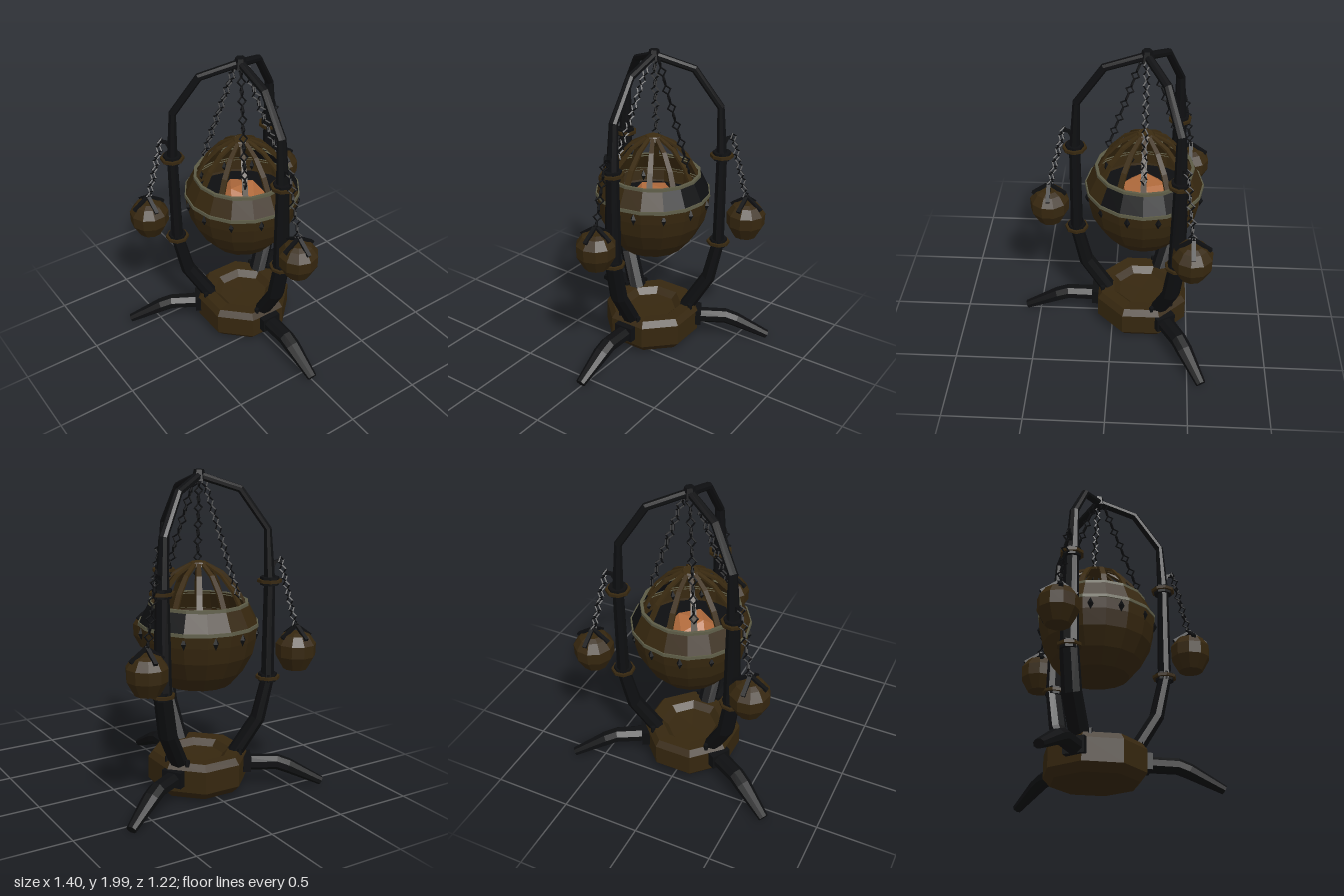
import * as THREE from 'three';

const mat = (name, color) => {
  const m = new THREE.MeshStandardMaterial({ color, flatShading: true, side: THREE.DoubleSide });
  m.name = name;
  return m;
};

export function createModel() {
  const iron = mat('black iron', 0x0e0f11);
  const bronze = mat('dark bronze', 0x36270f);
  const rib = mat('rib bronze', 0x3b2b11);
  const trim = mat('pale trim', 0x5c5b46);
  const ember = mat('ember orange', 0xb06a3c);

  const root = new THREE.Group();
  root.name = 'hangingBrazier';
  const model = new THREE.Group();
  model.name = 'brazierBody';
  model.position.z = -0.195;
  root.add(model);

  const add = (parent, name, geo, material, x = 0, y = 0, z = 0) => {
    const m = new THREE.Mesh(geo, material);
    m.name = name;
    m.position.set(x, y, z);
    parent.add(m);
    return m;
  };
  const lathe = (pts, seg, start = 0, len = Math.PI * 2) =>
    new THREE.LatheGeometry(pts.map(p => new THREE.Vector2(p[0], p[1])), seg, start, len);

  // Bar along a path in the z-y plane; stations are [z, y, width, depth]
  const bar = (st, sides = 8) => {
    const pos = [], idx = [], n = st.length;
    st.forEach(([z, y, w, d], k) => {
      const a = st[Math.max(k - 1, 0)], b = st[Math.min(k + 1, n - 1)];
      const l = Math.hypot(b[0] - a[0], b[1] - a[1]);
      const tz = (b[0] - a[0]) / l, ty = (b[1] - a[1]) / l;
      const s = 0.5 / Math.cos(Math.PI / sides);
      for (let i = 0; i < sides; i++) {
        const t = (i + 0.5) * 2 * Math.PI / sides;
        const u = Math.cos(t) * w * s, v = Math.sin(t) * d * s;
        pos.push(u, y + tz * v, z - ty * v);
      }
    });
    for (let k = 0; k < n - 1; k++) for (let i = 0; i < sides; i++) {
      const a = k * sides + i, b = k * sides + (i + 1) % sides;
      idx.push(a, b, b + sides, a, b + sides, a + sides);
    }
    const e = (n - 1) * sides;
    for (let i = 1; i < sides - 1; i++) idx.push(0, i + 1, i, e, e + i, e + i + 1);
    const g = new THREE.BufferGeometry();
    g.setAttribute('position', new THREE.Float32BufferAttribute(pos, 3));
    g.setIndex(idx);
    g.computeVertexNormals();
    return g;
  };

  // Chain of diamond links, each turned a quarter from the last
  const linkGeo = new THREE.TorusGeometry(0.024, 0.0065, 4, 4);
  const chain = (parent, name, from, to, count) => {
    const g = new THREE.Group();
    g.name = name;
    const a = new THREE.Vector3(...from), b = new THREE.Vector3(...to);
    const dir = b.clone().sub(a);
    const q = new THREE.Quaternion().setFromUnitVectors(new THREE.Vector3(0, 1, 0), dir.clone().normalize());
    for (let i = 0; i < count; i++) {
      const m = add(g, 'chainLink', linkGeo, iron);
      m.position.copy(a).addScaledVector(dir, (i + 0.5) / count);
      m.quaternion.copy(q).multiply(new THREE.Quaternion().setFromAxisAngle(
        new THREE.Vector3(0, 1, 0), Math.PI / 4 + i * Math.PI / 2));
      m.scale.y = dir.length() / count / 0.048;
    }
    parent.add(g);
  };

  // Faceted base with a shallow dished top
  add(model, 'base', lathe([[0, 0.025], [0.27, 0.03], [0.315, 0.08], [0.315, 0.22],
    [0.285, 0.26], [0.2, 0.255], [0.16, 0.215], [0, 0.21]], 8, Math.PI / 8), bronze);

  // Three sides: foot, arm, collars, chain and small lantern
  for (let k = 0; k < 3; k++) {
    const side = new THREE.Group();
    side.name = 'armAssembly';
    side.rotation.y = k * Math.PI * 2 / 3;
    model.add(side);

    add(side, 'foot', bar([[0.26, 0.165, 0.11, 0.09], [0.5, 0.165, 0.1, 0.09],
      [0.57, 0.14, 0.1, 0.085], [0.785, 0.035, 0.06, 0.05]]), iron);
    add(side, 'footClamp', new THREE.BoxGeometry(0.13, 0.1, 0.05), iron, 0, 0.17, 0.31);
    for (const s of [-1, 1])
      add(side, 'footBolt', new THREE.CylinderGeometry(0.015, 0.015, 0.04, 6), iron, s * 0.07, 0.26, 0.26);

    add(side, 'arm', bar([[0.22, 0.21, 0.115, 0.09], [0.375, 0.465, 0.115, 0.085], [0.43, 0.72, 0.11, 0.075],
      [0.43, 1.33, 0.08, 0.065], [0.412, 1.65, 0.055, 0.045], [0.245, 1.885, 0.05, 0.045],
      [0, 1.965, 0.05, 0.045]]), iron);
    for (const y of [0.73, 1.335]) {
      add(side, 'collar', new THREE.CylinderGeometry(0.075, 0.075, 0.018, 8), bronze, 0, y, 0.43);
      add(side, 'collarCore', new THREE.CylinderGeometry(0.058, 0.058, 0.05, 8), iron, 0, y, 0.43);
    }
    add(side, 'chainHook', bar([[0.42, 1.36, 0.02, 0.02], [0.46, 1.45, 0.02, 0.02],
      [0.495, 1.46, 0.02, 0.02]], 4), iron);
    chain(side, 'lanternChain', [0, 1.48, 0.49], [0, 1.04, 0.597], 9);

    const lantern = new THREE.Group();
    lantern.name = 'smallLantern';
    lantern.position.z = 0.6;
    side.add(lantern);
    add(lantern, 'lanternBowl', lathe([[0, 0.785], [0.075, 0.785], [0.122, 0.87], [0.124, 0.945],
      [0.085, 1.0], [0.05, 1.015], [0, 1.015]], 10), bronze);
    // Crossed straps meeting at the chain, squared to the world axes
    for (let i = 0; i < 2; i++) {
      const s = add(lantern, 'lanternStrap', bar([[-0.105, 0.985, 0.025, 0.018],
        [0, 1.06, 0.025, 0.018], [0.105, 0.985, 0.025, 0.018]], 4), iron);
      s.rotation.y = i * Math.PI / 2 - side.rotation.y;
    }
  }

  // Crown where the arms meet
  add(model, 'crown', new THREE.CylinderGeometry(0.03, 0.045, 0.065, 6), iron, 0, 1.9675, 0);

  // Main vessel, with a blackened panel on its left side
  const upper = [[0.367, 1.08], [0.305, 1.205]];
  add(model, 'vesselBowl', lathe([[0, 0.7], [0.205, 0.7], [0.28, 0.79], [0.338, 0.9],
    [0.36, 1.0], [0.367, 1.08]], 16), bronze);
  add(model, 'vesselShoulder', lathe(upper, 12, Math.PI * 0.75, Math.PI * 1.5), bronze);
  add(model, 'darkPanel', lathe(upper, 4, Math.PI * 0.25, Math.PI * 0.5), iron);
  for (const [r, y] of [[0.366, 1.08], [0.303, 1.205]])
    add(model, 'trimBand', lathe([[r - 0.008, y - 0.01], [r + 0.006, y - 0.01],
      [r + 0.004, y + 0.01], [r - 0.014, y + 0.01]], 16), trim);

  // Glowing coals over a dark floor
  add(model, 'coalBed', lathe([[0.35, 0.99], [0, 1.01]], 16), iron);
  add(model, 'embers', new THREE.IcosahedronGeometry(0.16, 0), ember, 0, 1.03, 0).scale.y = 0.6;

  // Studs around the girdle and ribs of the open dome
  for (let i = 0; i < 12; i++) {
    const a = (i + 0.5) * Math.PI / 6;
    add(model, 'stud', new THREE.OctahedronGeometry(0.04, 0), iron,
      Math.sin(a) * 0.358, 1.03, Math.cos(a) * 0.358).scale.set(0.5, 1, 0.5);
    add(model, 'domeRib', bar([[0.285, 1.195, 0.036, 0.014], [0.235, 1.29, 0.034, 0.014],
      [0.15, 1.385, 0.03, 0.014], [0.05, 1.44, 0.024, 0.014]], 4), rib).rotation.y = i * Math.PI / 6;
  }
  add(model, 'domeCap', new THREE.CylinderGeometry(0.045, 0.065, 0.025, 12), rib, 0, 1.44, 0);

  // Three chains carrying the vessel
  for (let k = 0; k < 3; k++) {
    const a = k * Math.PI * 2 / 3;
    chain(model, 'vesselChain', [Math.cos(a) * 0.03, 1.95, Math.sin(a) * 0.03],
      [Math.cos(a) * 0.27, 1.26, Math.sin(a) * 0.27], 13);
  }
  return root;
}
